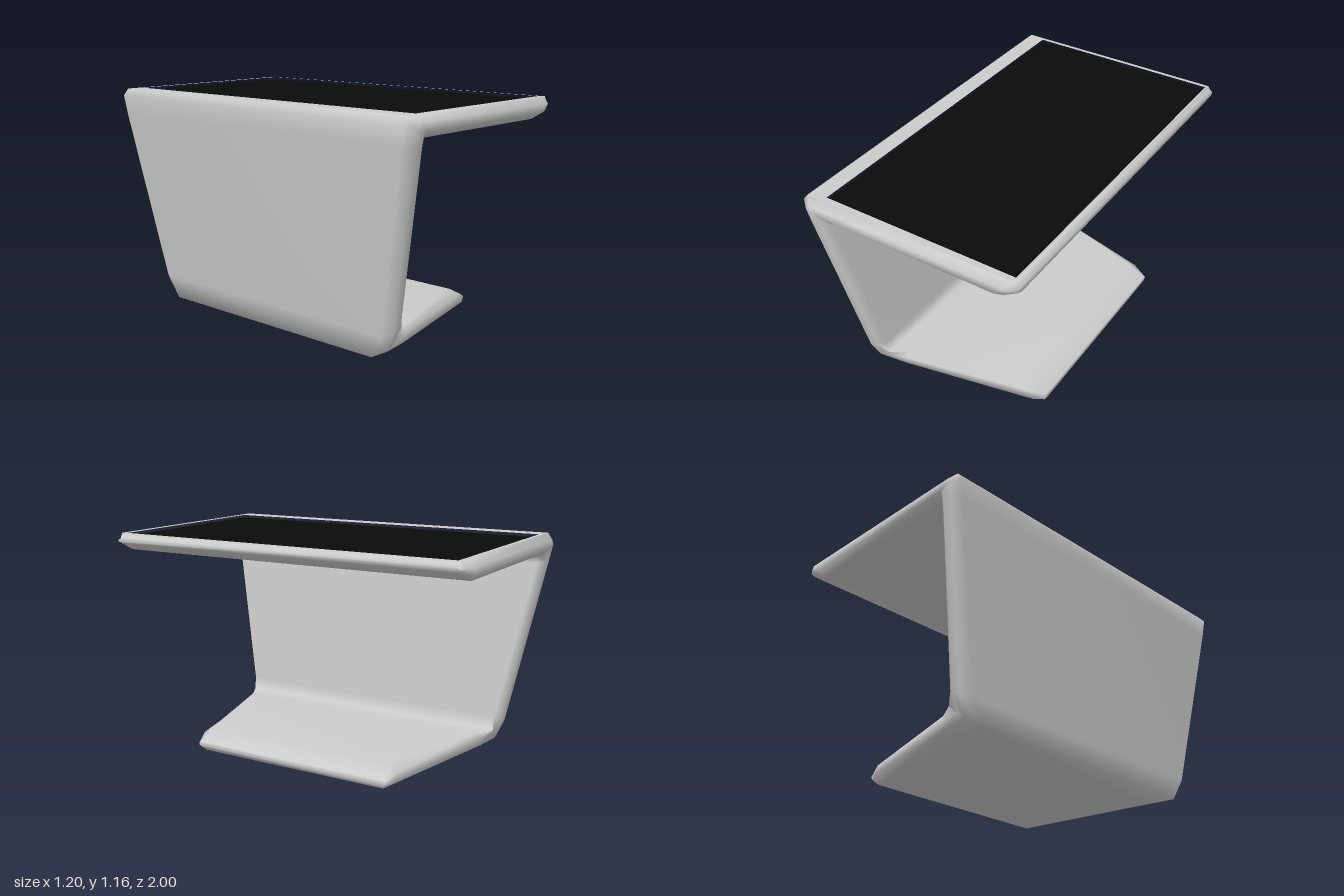
import * as THREE from 'three';
import { mergeVertices } from 'three/addons/utils/BufferGeometryUtils.js';

const TOP = 1.165;
const OPENING = { x0: -0.48, x1: 0.56, z0: -0.945, z1: 0.935 };

// Sections along the C: outer point, inner point, half widths (outer, middle, inner)
const SECTIONS = [
  { o: [0.485, 0.025], i: [0.485, 0.055], w: [0.55, 0.565, 0.55] },   // foot tip
  { o: [0.455, 0], i: [0.375, 0.11], w: [0.54, 0.595, 0.55] },
  { o: [-0.30, 0], i: [-0.25, 0.11], w: [0.67, 0.745, 0.73] },
  { o: [-0.475, 0], i: [-0.35, 0.11], w: [0.70, 0.765, 0.785] },      // bottom corner
  { o: [-0.49, 0.12], i: [-0.358, 0.18], w: [0.77, 0.812, 0.785] },
  { o: [-0.59, 1.03], i: [-0.456, 1.02], w: [0.95, 0.985, 0.95] },
  { o: [-0.6, 1.13], i: [-0.46, 1.06], w: [0.965, 1, 0.96] },         // top corner
  { o: [-0.57, TOP], i: [-0.46, 1.06], w: [0.965, 1, 0.96], open: true },
  { o: [0.57, TOP], i: [0.45, 1.06], w: [0.965, 1, 0.96] },
  { o: [0.582, 1.153], i: [0.51, 1.073], w: [0.96, 0.99, 0.96] },
  { o: [0.595, 1.14], i: [0.595, 1.115], w: [0.95, 0.97, 0.95] },     // top tip
];

// Bevelled eight-point ring for one section
function ring({ o, i, w }) {
  const at = (t, z) => [o[0] + (i[0] - o[0]) * t, o[1] + (i[1] - o[1]) * t, z];
  return [
    at(0, -w[0]), at(0, w[0]), at(0.3, w[1]), at(0.7, w[1]),
    at(1, w[2]), at(1, -w[2]), at(0.7, -w[1]), at(0.3, -w[1]),
  ];
}

function bodyGeometry() {
  const n = 8;
  const points = SECTIONS.flatMap(ring).flat();
  const index = [];
  for (let s = 0; s < SECTIONS.length - 1; s++) {
    for (let j = 0; j < n; j++) {
      if (SECTIONS[s].open && j === 0) continue; // closed by the screen frame
      const a = s * n + j, b = s * n + (j + 1) % n;
      index.push(a, b, a + n, b, b + n, a + n);
    }
  }
  // End caps
  const last = (SECTIONS.length - 1) * n;
  for (let k = 1; k < n - 1; k++) {
    index.push(0, k + 1, k);
    index.push(last, last + k, last + k + 1);
  }
  const geometry = new THREE.BufferGeometry();
  geometry.setAttribute('position', new THREE.Float32BufferAttribute(points, 3));
  geometry.setIndex(index);
  const merged = mergeVertices(geometry, 1e-4);
  merged.computeVertexNormals();
  return merged;
}

// Flat rim around the sunken screen
function frameGeometry(depth) {
  const rect = (Type, x0, x1, z0, z1) => new Type([
    new THREE.Vector2(x0, -z0), new THREE.Vector2(x1, -z0),
    new THREE.Vector2(x1, -z1), new THREE.Vector2(x0, -z1),
  ]);
  const shape = rect(THREE.Shape, -0.57, 0.57, -0.965, 0.965);
  const { x0, x1, z0, z1 } = OPENING;
  shape.holes.push(rect(THREE.Path, x0, x1, z0, z1));
  const geometry = new THREE.ExtrudeGeometry(shape, { depth, bevelEnabled: false });
  geometry.rotateX(-Math.PI / 2);
  geometry.translate(0, TOP - depth, 0);
  return geometry;
}

export function createModel() {
  const group = new THREE.Group();
  group.name = 'touchscreenTable';
  const grey = new THREE.MeshStandardMaterial({ color: 0xcccccc });
  const black = new THREE.MeshStandardMaterial({ color: 0x0a0a0a });

  const add = (name, geometry, material) => {
    const mesh = new THREE.Mesh(geometry, material);
    mesh.name = name;
    group.add(mesh);
    return mesh;
  };

  // Foot, leaning back panel and table top in one continuous body
  add('tableBody', bodyGeometry(), grey);
  add('screenFrame', frameGeometry(0.022), grey);

  // Screen, set just below the rim
  const { x0, x1, z0, z1 } = OPENING;
  const screen = add('screen', new THREE.BoxGeometry(x1 - x0, 0.01, z1 - z0), black);
  screen.position.set((x0 + x1) / 2, TOP - 0.02, (z0 + z1) / 2);

  return group;
}
